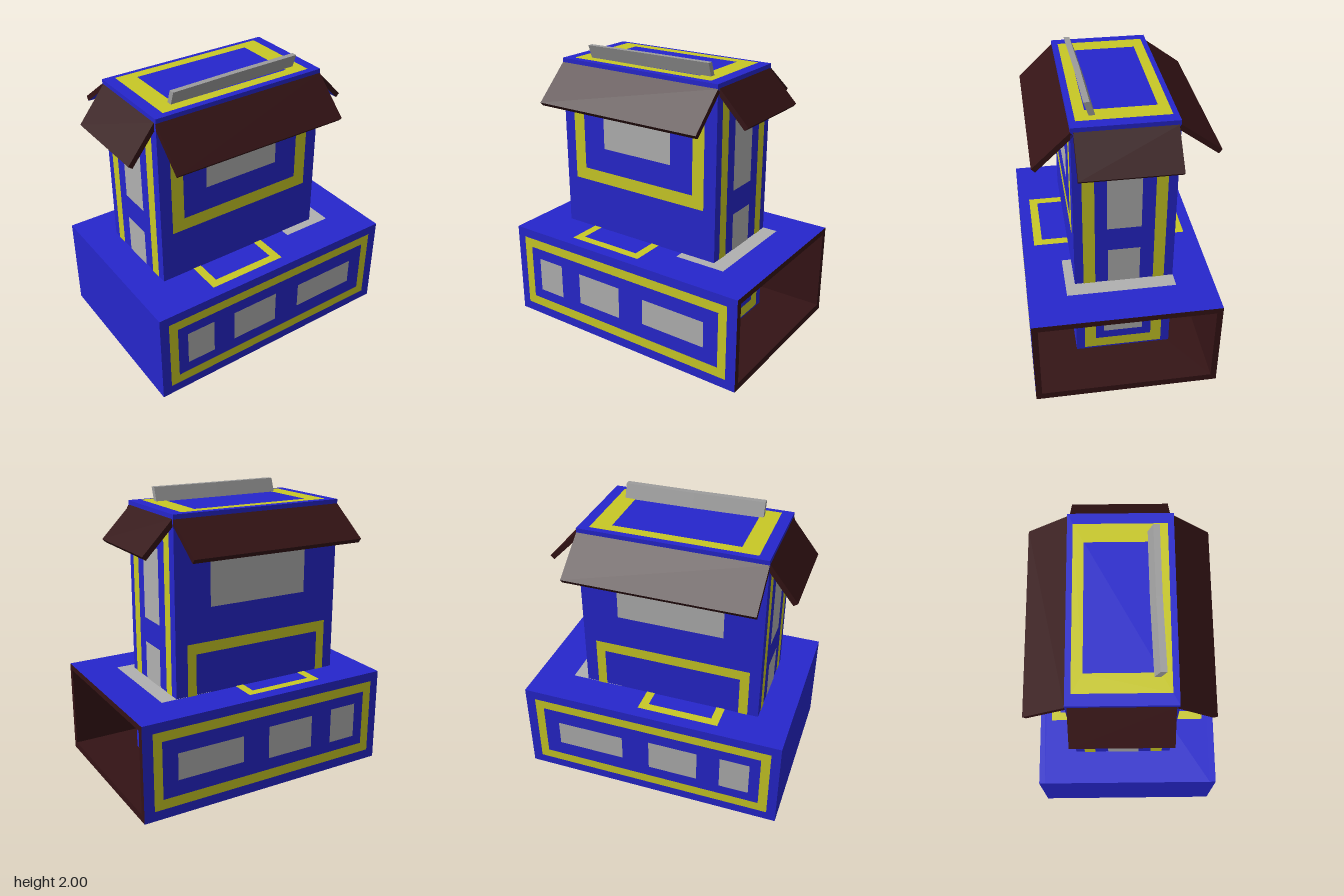
import * as THREE from 'three';

const mat = (color) => new THREE.MeshStandardMaterial({ color });
const blue = mat(0x2626cc), yellow = mat(0xc8c826), brown = mat(0x341315);
const grey = mat(0xb0b0b0), barGrey = mat(0x9c9c9c);
const FACES = ['+x', '-x', '+y', '-y', '+z', '-z'];

// Box from min/max corners; faces listed in blueFaces are blue, the rest brown
function slab(name, [x0, x1], [y0, y1], [z0, z1], blueFaces) {
  const mesh = new THREE.Mesh(
    new THREE.BoxGeometry(x1 - x0, y1 - y0, z1 - z0),
    FACES.map((f) => (blueFaces.includes(f) ? blue : brown)));
  mesh.position.set((x0 + x1) / 2, (y0 + y1) / 2, (z0 + z1) / 2);
  mesh.name = name;
  return mesh;
}

// Orientation of each side, and the sign that turns model coordinates into its local u, v
const SIDES = {
  '+z': { rot: [0, 0, 0], su: 1, sv: 1, axis: 'z', dir: 1 },
  '-z': { rot: [0, Math.PI, 0], su: -1, sv: 1, axis: 'z', dir: -1 },
  '+x': { rot: [0, Math.PI / 2, 0], su: -1, sv: 1, axis: 'x', dir: 1 },
  '-x': { rot: [0, -Math.PI / 2, 0], su: 1, sv: 1, axis: 'x', dir: -1 },
  '+y': { rot: [-Math.PI / 2, 0, 0], su: 1, sv: -1, axis: 'y', dir: 1 },
  '-y': { rot: [Math.PI / 2, 0, 0], su: 1, sv: 1, axis: 'y', dir: -1 },
};

function rectPoints([u0, u1, v0, v1], su, sv) {
  return [[u0, v0], [u1, v0], [u1, v1], [u0, v1]].map(([u, v]) => new THREE.Vector2(u * su, v * sv));
}

// Flat rectangle (optionally with a rectangular hole) lying on one side
function panel(name, side, at, material, outer, inner) {
  const s = SIDES[side];
  const shape = new THREE.Shape(rectPoints(outer, s.su, s.sv));
  if (inner) shape.holes.push(new THREE.Path(rectPoints(inner, s.su, s.sv)));
  const mesh = new THREE.Mesh(new THREE.ShapeGeometry(shape), material);
  mesh.rotation.set(...s.rot);
  mesh.position[s.axis] = at + s.dir * 0.003;
  mesh.name = name;
  return mesh;
}

function createBase() {
  const g = new THREE.Group();
  g.name = 'base';
  const X = [-0.935, 0.935], Y = [0, 0.68], Z = [-0.632, 0.635], t = 0.042;
  const inZ = [Z[0] + t, Z[1] - t];
  // Hollow case, open at its left end
  g.add(
    slab('baseFrontWall', X, Y, [inZ[1], Z[1]], ['+z', '+y', '-y', '-x']),
    slab('baseBackWall', X, Y, [Z[0], inZ[0]], ['-z', '+y', '-y', '-x']),
    slab('baseTop', X, [Y[1] - t, Y[1]], inZ, ['+y', '-x']),
    slab('baseFloor', X, [0, 0.05], inZ, ['-y', '-x']),
    slab('baseEndWall', [X[0], X[0] + t], [0.05, Y[1] - t], inZ, ['-x']));
  // Long sides: frame and three windows
  for (const [side, z] of [['+z', Z[1]], ['-z', Z[0]]]) {
    g.add(panel('baseFrame', side, z, yellow, [-0.87, 0.863, 0.07, 0.615], [-0.805, 0.8, 0.14, 0.547]));
    for (const w of [[-0.73, -0.52, 0.215, 0.47], [-0.355, 0, 0.225, 0.46], [0.2, 0.69, 0.25, 0.44]])
      g.add(panel('baseWindow', side, z, grey, w));
  }
  // Top panels
  g.add(
    panel('baseTopFrame', '+y', Y[1], yellow, [-0.47, 0.105, -0.55, 0.555], [-0.41, 0.045, -0.49, 0.495]),
    panel('baseTopPanel', '+y', Y[1], grey, [0.3, 0.67, -0.37, 0.375]));
  // Underside panels
  g.add(
    panel('undersideFrame', '-y', 0, yellow, [0.1, 0.87, -0.53, 0.52], [0.23, 0.77, -0.42, 0.41]),
    panel('undersidePanel', '-y', 0, grey, [0.33, 0.61, -0.25, 0.25]),
    panel('undersideNarrowFrame', '-y', 0, yellow, [-0.85, -0.46, -0.545, 0.53], [-0.79, -0.52, -0.485, 0.47]),
    panel('undersideNarrowPanel', '-y', 0, grey, [-0.745, -0.625, -0.455, 0.45]));
  return g;
}

const TX = [-0.705, 0.56], TY = [0.05, 1.905], TZ = [-0.367, 0.31];

function createTower() {
  const g = new THREE.Group();
  g.name = 'tower';
  g.add(slab('towerBody', TX, TY, TZ, FACES));
  g.add(
    panel('frontFrame', '+z', TZ[1], yellow, [-0.62, 0.47, 1.04, 1.8], [-0.53, 0.38, 1.13, 1.71]),
    panel('frontWindow', '+z', TZ[1], grey, [-0.355, 0.205, 1.305, 1.527]),
    panel('backFrame', '-z', TZ[0], yellow, [-0.63, 0.475, 0.12, 1.045], [-0.565, 0.41, 0.19, 0.97]),
    panel('backWindow', '-z', TZ[0], grey, [-0.44, 0.3, 1.28, 1.62]),
    panel('roofFrame', '+y', TY[1], yellow, [-0.63, 0.485, -0.33, 0.27], [-0.505, 0.355, -0.26, 0.2]));
  // Narrow sides: tall frame and three stacked windows
  for (const [side, x] of [['+x', TX[1]], ['-x', TX[0]]]) {
    g.add(panel('sideFrame', side, x, yellow, [-0.305, 0.25, 0.065, 1.8], [-0.228, 0.17, 0.145, 1.72]));
    for (const w of [[-0.14, 0.088, 1.13, 1.65], [-0.135, 0.083, 0.555, 0.955], [-0.165, 0.11, 0.21, 0.4]])
      g.add(panel('sideWindow', side, x, grey, w));
  }
  return g;
}

// Sloping flap hinged at the tower's top edge, brown above and blue beneath
function awning(name, yaw, width, hinge, run, drop) {
  const length = Math.hypot(run, drop), t = 0.035;
  const flap = slab('flap', [-width / 2, width / 2], [-t, 0], [0, length], ['-y']);
  const tilt = new THREE.Group();
  tilt.add(flap);
  tilt.rotation.x = Math.atan2(drop, run);
  const g = new THREE.Group();
  g.add(tilt);
  g.rotation.y = yaw;
  g.position.set(...hinge);
  g.name = name;
  return g;
}

// Slightly bent bar leaning forward on the roof
function createRoofBar() {
  const geo = new THREE.BoxGeometry(0.96, 0.1, 0.04, 2, 1, 1).toNonIndexed();
  const p = geo.attributes.position;
  for (let i = 0; i < p.count; i++) {
    const x = p.getX(i), y = p.getY(i);
    const bend = x < -0.1 ? 0.013 : x > 0.1 ? -0.008 : -0.002;
    p.setZ(i, p.getZ(i) + bend + y * 0.35);
  }
  geo.computeVertexNormals();
  const bar = new THREE.Mesh(geo, barGrey);
  bar.position.set(-0.052, 1.95, 0.184);
  bar.name = 'roofBar';
  return bar;
}

export function createModel() {
  const model = new THREE.Group();
  model.name = 'towerOnBase';
  model.add(createBase(), createTower(), createRoofBar());
  const midX = (TX[0] + TX[1]) / 2, h = 1.875;
  model.add(
    awning('frontAwning', 0, 1.265, [midX, h, TZ[1]], 0.245, 0.235),
    awning('backAwning', Math.PI, 1.265, [midX, h, TZ[0]], 0.27, 0.2),
    awning('leftAwning', Math.PI / 2, 0.645, [TX[1], h, -0.032], 0.21, 0.215),
    awning('rightAwning', -Math.PI / 2, 0.645, [TX[0], h, -0.032], 0.19, 0.24));
  return model;
}
